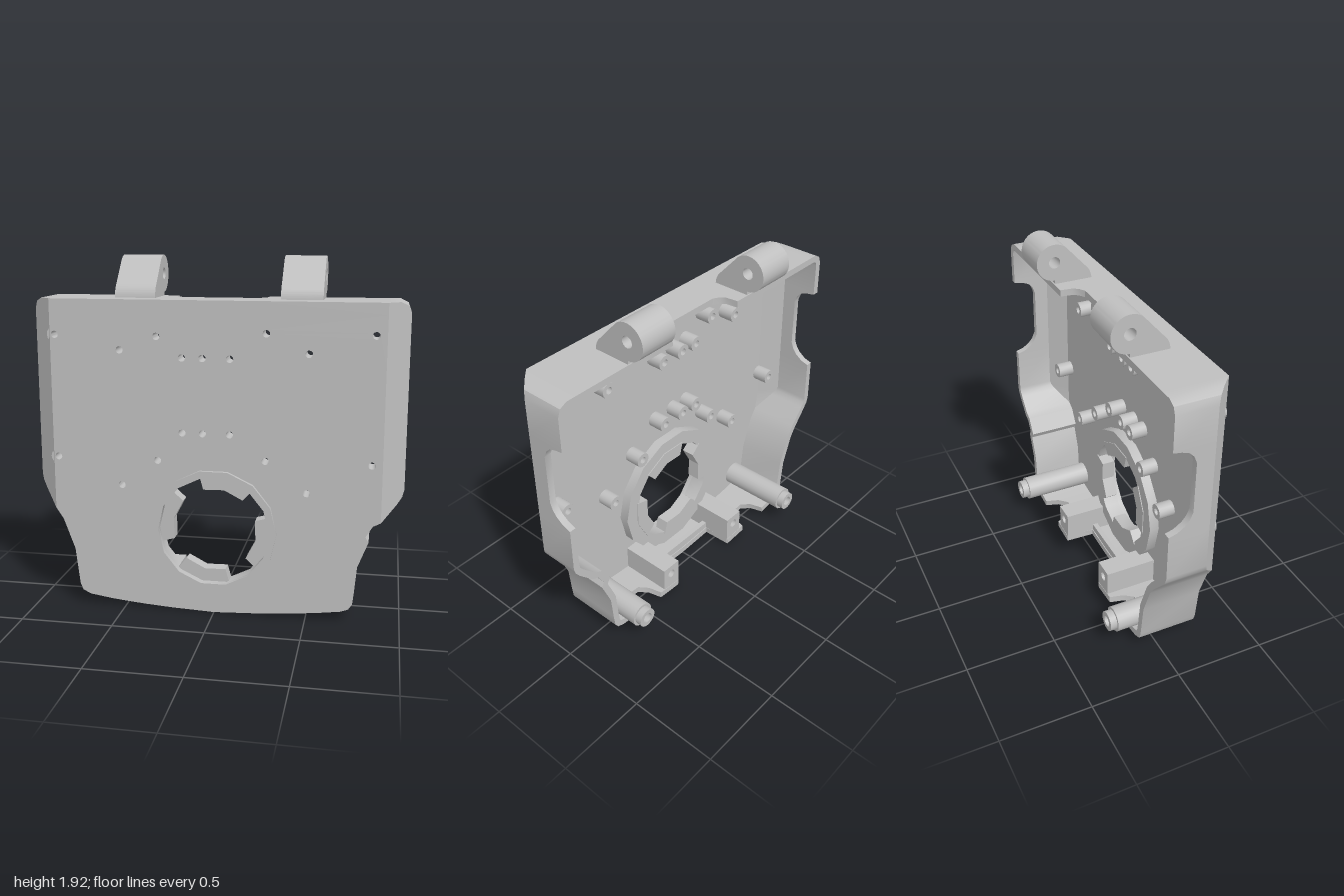
import * as THREE from 'three';
import { toCreasedNormals } from 'three/addons/utils/BufferGeometryUtils.js';

const FRONT = 0.227, BACK = -0.106, T = 0.037, INNER = FRONT - T;
const RING_Y = 0.467;

const grey = new THREE.MeshStandardMaterial({ color: 0xbfbfbf });
grey.name = 'plain grey';

function add(group, name, geo) {
  const m = new THREE.Mesh(toCreasedNormals(geo, 0.5), grey);
  m.name = name;
  group.add(m);
  return m;
}

// Regular polygon or circle as a list of points
function ngon(cx, cy, r, n, turn = 0) {
  return Array.from({ length: n }, (_, i) => {
    const a = turn + (i / n) * Math.PI * 2;
    return new THREE.Vector2(cx + r * Math.cos(a), cy + r * Math.sin(a));
  });
}

// Shape extruded from z0 to z1
function slab(points, z0, z1, holes = []) {
  const s = new THREE.Shape(points);
  holes.forEach(h => s.holes.push(new THREE.Path(h)));
  const g = new THREE.ExtrudeGeometry(s, { depth: z1 - z0, bevelEnabled: false, curveSegments: 12 });
  return g.translate(0, 0, z0);
}

const tube = (x, y, r, hole, z0, z1, n = 20) =>
  slab(ngon(x, y, r, n), z0, z1, [ngon(x, y, hole, n)]);

// Rim cut-outs: [position along the edge, depth z of the rim]
const sideNotch = [[0.968, BACK], [0.982, -0.06], [1.01, -0.02], [1.04, 0.004], [1.08, 0.02],
  [1.36, 0.02], [1.4, 0.004], [1.425, -0.02], [1.44, -0.06], [1.448, BACK]];
const topNotch = [[0.25, BACK], [0.243, -0.04], [0.225, -0.012], [0.19, 0.01]];
const bottomY = x => 0.003 + 0.052 * Math.pow(Math.abs(x) / 0.7, 1.8);

// Outline, counter-clockwise from the front: [x, y, rim z]
function makeOutline() {
  const lower = [[0.225, 0.06], [0.23, BACK], [0.38, BACK], [0.4, -0.03], [0.44, 0.02],
    [0.52, 0.02], [0.56, -0.03], [0.58, BACK]];
  const p = [];
  [...lower].reverse().forEach(([x, z]) => p.push([-x, bottomY(x), z]));
  p.push([-0.1, bottomY(0.1), 0.06], [0, 0, 0.06], [0.1, bottomY(0.1), 0.06]);
  lower.forEach(([x, z]) => p.push([x, bottomY(x), z]));
  // model's left side, with its small step
  [[0.69, 0.055], [0.73, 0.07], [0.75, 0.1], [0.758, 0.17], [0.77, 0.31], [0.825, 0.45], [0.808, 0.48],
    [0.845, 0.54], [0.885, 0.56], [0.965, 0.645], [0.99, 0.68], [1, 0.715]]
    .forEach(([x, y]) => p.push([x, y, BACK]));
  sideNotch.forEach(([y, z]) => p.push([1, y, z]));
  [[1, 1.64], [0.985, 1.68], [0.945, 1.7], [0.885, 1.7]].forEach(([x, y]) => p.push([x, y, BACK]));
  topNotch.forEach(([x, z]) => p.push([x, 1.7, z]));
  [...topNotch].reverse().forEach(([x, z]) => p.push([-x, 1.7, z]));
  // model's right side
  [[-0.885, 1.7], [-0.945, 1.7], [-0.985, 1.68], [-1, 1.64]].forEach(([x, y]) => p.push([x, y, BACK]));
  [...sideNotch].reverse().forEach(([y, z]) => p.push([-1, y, z]));
  [[-1, 0.715], [-0.99, 0.68], [-0.965, 0.645], [-0.885, 0.55], [-0.845, 0.49], [-0.783, 0.32],
    [-0.76, 0.12], [-0.745, 0.08], [-0.7, 0.058]].forEach(([x, y]) => p.push([x, y, BACK]));
  return p;
}

// Mitred inward offset of a counter-clockwise outline
function inset(p, t) {
  const normal = (a, b) => new THREE.Vector2(a[1] - b[1], b[0] - a[0]).normalize();
  return p.map((q, i) => {
    const a = normal(p[(i + p.length - 1) % p.length], q);
    const b = normal(q, p[(i + 1) % p.length]);
    const m = a.clone().add(b).multiplyScalar(t / (1 + a.dot(b)));
    return [q[0] + m.x, q[1] + m.y, q[2]];
  });
}

// Quads between successive rows of points around the closed outline
function loft(rows) {
  const pos = [], n = rows[0].length;
  const tri = (...v) => {
    const [a, b, c] = v.map(q => new THREE.Vector3(...q));
    if (b.clone().sub(a).cross(c.clone().sub(a)).length() > 1e-8) v.forEach(q => pos.push(...q));
  };
  for (let r = 0; r < rows.length - 1; r++) {
    for (let i = 0; i < n; i++) {
      const j = (i + 1) % n;
      tri(rows[r][i], rows[r + 1][i], rows[r + 1][j]);
      tri(rows[r][i], rows[r + 1][j], rows[r][j]);
    }
  }
  const g = new THREE.BufferGeometry();
  g.setAttribute('position', new THREE.Float32BufferAttribute(pos, 3));
  return g;
}

const screwHoles = [[-0.86, 1.51], [-0.505, 1.435], [-0.305, 1.51], [-0.17, 1.4], [-0.06, 1.4], [0.085, 1.4],
  [0.275, 1.535], [0.495, 1.435], [0.83, 1.535], [-0.17, 1], [-0.06, 1], [0.085, 1], [-0.86, 0.845],
  [-0.305, 0.845], [0.275, 0.865], [0.83, 0.865], [-0.505, 0.7], [0.495, 0.7]];

export function createModel() {
  const model = new THREE.Group();
  model.name = 'housingCover';

  // Shell walls with bevelled front sides and notched rim
  const outer = makeOutline(), inner = inset(outer, T);
  const clamp = (x, c) => Math.max(-c, Math.min(c, x));
  const outerZ = x => Math.min(FRONT, 0.115 + (1 - Math.abs(x)) * 0.974);
  const innerZ = x => Math.min(INNER, 0.063 + (1 - Math.abs(x)) * 0.974);
  const frontRow = outer.map(([x, y]) => [clamp(x, 0.885), y, FRONT]);
  const floorRow = inner.map(([x, y]) => [clamp(x, 0.87), y, INNER]);
  add(model, 'shellWall', loft([
    frontRow,
    outer.map(([x, y]) => [x, y, outerZ(x)]),
    outer, inner,
    inner.map(([x, y]) => [x, y, innerZ(x)]),
    floorRow,
  ]));

  // Front plate and its inside face
  const holes = [ngon(0, RING_Y, 0.302, 14), ...screwHoles.map(([x, y]) => ngon(x, y, 0.02, 12))];
  const face = row => {
    const s = new THREE.Shape(row.map(([x, y]) => new THREE.Vector2(x, y)));
    holes.forEach(h => s.holes.push(new THREE.Path(h)));
    return new THREE.ShapeGeometry(s).translate(0, 0, row[0][2]);
  };
  add(model, 'frontPlate', face(frontRow));
  const back = face(floorRow), index = back.index.array;
  for (let i = 0; i < index.length; i += 3) [index[i], index[i + 1]] = [index[i + 1], index[i]];
  back.computeVertexNormals();
  add(model, 'insideFace', back);

  // Screw bosses behind each hole
  screwHoles.forEach(([x, y]) => add(model, 'screwBoss', tube(x, y, 0.043, 0.02, 0.1, 0.222, 14)));

  // Raised ring, rear collar and four locking tabs
  add(model, 'frontRing', tube(0, RING_Y, 0.341, 0.302, 0.222, 0.248, 14));
  add(model, 'rearCollar', tube(0, RING_Y, 0.385, 0.302, 0.135, 0.222, 14));
  for (let k = 0; k < 4; k++) {
    const start = 0.84 + k * Math.PI / 2, pts = [];
    const at = (r, a) => pts.push(new THREE.Vector2(r * Math.cos(a), RING_Y + r * Math.sin(a)));
    for (let i = 0; i <= 2; i++) at(0.312, start + i * 0.5);
    for (let i = 2; i >= 0; i--) at(0.23, start + i * 0.5);
    add(model, 'lockingTab', slab(pts, 0.13, 0.205));
  }

  // Hinge lugs on top
  for (const x of [-0.555, 0.333]) {
    const s = new THREE.Shape();
    s.moveTo(0.1, 1.69);
    s.lineTo(0.1, 1.72);
    s.absarc(0.1, 1.82, 0.1, -Math.PI / 2, Math.PI * 0.74, false);
    s.lineTo(-0.075, 1.775);
    s.quadraticCurveTo(-0.11, 1.745, -0.112, 1.69);
    s.holes.push(new THREE.Path(ngon(0.1, 1.82, 0.032, 16)));
    const g = new THREE.ExtrudeGeometry(s, { depth: 0.22, bevelEnabled: false, curveSegments: 20 });
    add(model, 'hingeLug', g.rotateY(Math.PI / 2).translate(x, 0, 0));
  }

  // Lower posts with stepped tips, and drilled mounting blocks
  for (const side of [-1, 1]) {
    add(model, 'post', tube(side * 0.642, 0.17, 0.069, 0.03, -0.212, 0.2));
    add(model, 'postTip', tube(side * 0.642, 0.17, 0.055, 0.03, -0.25, -0.212));
    const cx = side * 0.285;
    const box = [[-0.06, 0.02], [0.06, 0.02], [0.06, 0.2], [-0.06, 0.2]]
      .map(([x, y]) => new THREE.Vector2(cx + x, y));
    add(model, 'mountingBlock', slab(box, -0.104, 0.2, [ngon(cx, 0.14, 0.026, 14)]));
  }

  // Lip between the blocks
  add(model, 'lowerLip', new THREE.BoxGeometry(0.46, 0.05, 0.03).translate(0, 0.06, 0.08));
  return model;
}
